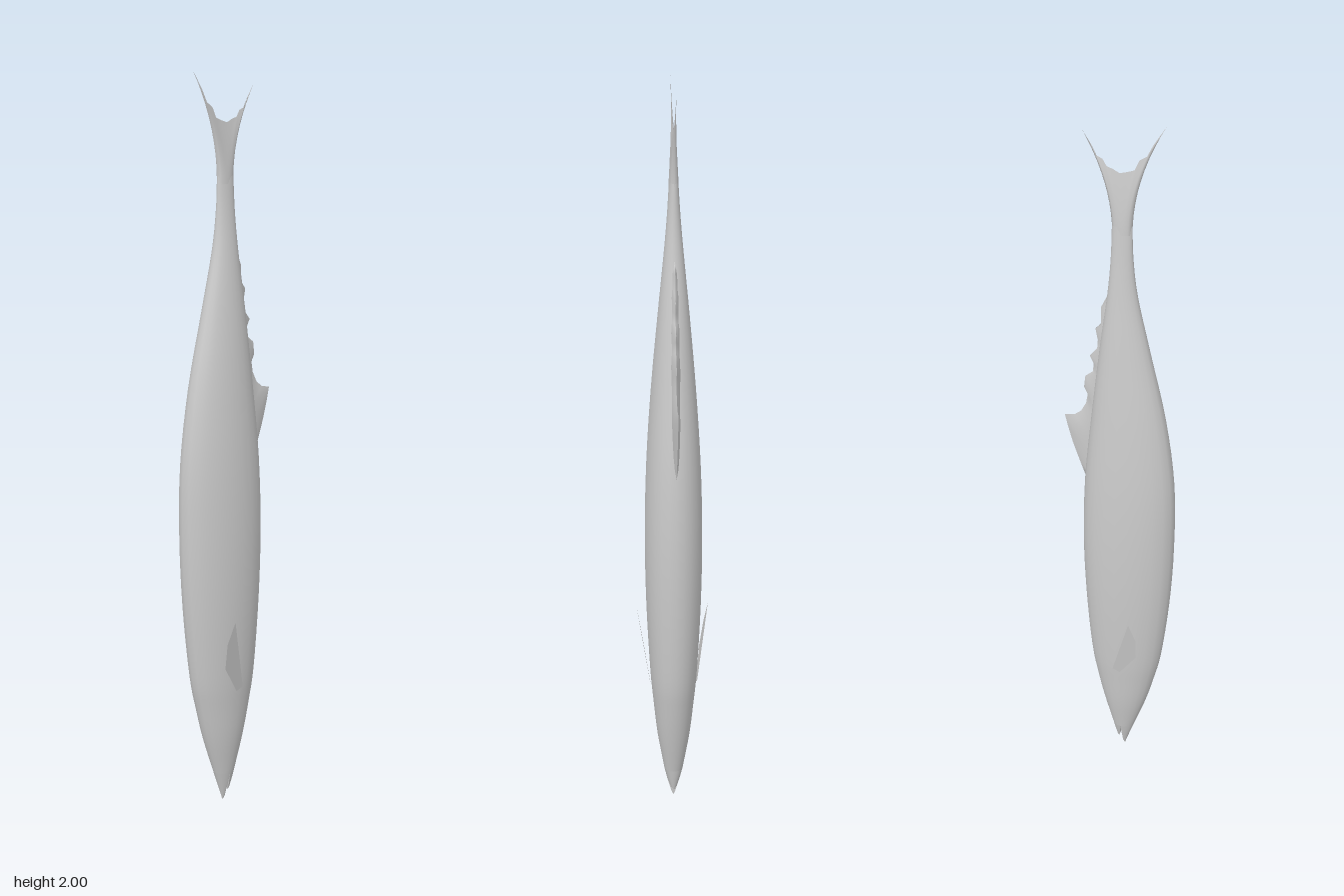
import * as THREE from 'three';

const material = new THREE.MeshStandardMaterial({ color: 0xcccccc, side: THREE.DoubleSide });
const lerp = THREE.MathUtils.lerp;

// Smooth tube of rings: point(i, j) gives [x, y, z] on ring i at step j around it
function tube(name, rings, steps, point) {
  const pos = [], index = [];
  for (let i = 0; i < rings; i++) {
    for (let j = 0; j < steps; j++) {
      pos.push(...point(i, j));
      if (i === rings - 1) continue;
      const a = i * steps + j, b = i * steps + (j + 1) % steps;
      index.push(a, a + steps, b, b, a + steps, b + steps);
    }
  }
  const geo = new THREE.BufferGeometry();
  geo.setAttribute('position', new THREE.Float32BufferAttribute(pos, 3));
  geo.setIndex(index);
  geo.computeVertexNormals();
  const mesh = new THREE.Mesh(geo, material);
  mesh.name = name;
  return mesh;
}

// Egg-shaped cross-section, widest slightly towards the back of the fish
const SIDES = 24;
function sectionPoint([y, belly, back, halfZ], j) {
  const a = (j / SIDES) * Math.PI * 2, r = (back - belly) / 2;
  const x = (belly + back) / 2 + r * (Math.cos(a) + 0.14 * Math.sin(a) ** 2);
  return [x, y, halfZ * Math.sin(a)];
}

// Lens-shaped fin grown from a base line to a free edge, thinning to nothing
function fin(name, baseA, baseB, edge, thickness, rows, bend) {
  const n = edge.length, steps = 2 * (n - 1);
  return tube(name, rows + 1, steps, (i, j) => {
    const k = j < n ? j : steps - j, s = k / (n - 1), v = i / rows;
    const bx = lerp(baseA[0], baseB[0], s), by = lerp(baseA[1], baseB[1], s);
    const [ex, ey] = edge[k];
    const cx = lerp(bx, ex, bend), cy = (by + ey) / 2;
    const w0 = (1 - v) ** 2, w1 = 2 * v * (1 - v), w2 = v * v;
    const z = thickness * Math.sqrt(Math.max(0, 1 - (2 * s - 1) ** 2)) * (1 - v ** 1.5);
    return [w0 * bx + w1 * cx + w2 * ex, w0 * by + w1 * cy + w2 * ey, j < n ? z : -z];
  });
}

export function createModel() {
  const fish = new THREE.Group();
  fish.name = 'fish';

  // Body sections: height, belly x, back x, half width
  const sections = [
    [0.09, -0.046, 0.018, 0.026], [0.2, -0.081, 0.045, 0.045], [0.3, -0.106, 0.066, 0.056],
    [0.4, -0.126, 0.082, 0.065], [0.6, -0.147, 0.096, 0.075], [0.8, -0.156, 0.101, 0.078],
    [1.0, -0.152, 0.094, 0.073], [1.2, -0.125, 0.074, 0.06], [1.4, -0.08, 0.051, 0.042],
    [1.55, -0.047, 0.031, 0.027], [1.65, -0.035, 0.022, 0.018], [1.74, -0.032, 0.019, 0.012],
  ];
  const spline = (f) => new THREE.CatmullRomCurve3(
    sections.map((s) => new THREE.Vector3(...f(s))), false, 'catmullrom', 0.5);
  const bellyLine = spline(([y, belly, , z]) => [belly, y, z]);
  const backLine = spline(([y, , back]) => [back, y, 0]);
  const RINGS = 45;
  const rings = [];
  for (let i = 0; i < RINGS; i++) {
    const b = bellyLine.getPoint(i / (RINGS - 1)), k = backLine.getPoint(i / (RINGS - 1));
    rings.push([b.y, b.x, k.x, b.z]);
  }
  fish.add(tube('body', RINGS, SIDES, (i, j) => sectionPoint(rings[i], j)));

  // Jaws: the snout split along the mouth, the last value being the split line
  const jaw = (name, clamp, secs) => fish.add(tube(name, secs.length, SIDES, (i, j) => {
    const [x, y, z] = sectionPoint(secs[i], j);
    return [clamp(x, secs[i][4]), y, z];
  }));
  jaw('lowerJaw', Math.min, [
    [0, -0.018, -0.015, 0.001, -0.014], [0.012, -0.021, -0.008, 0.006, -0.013],
    [0.05, -0.033, 0.008, 0.017, -0.012], [0.09, -0.046, 0.018, 0.026, -0.01]]);
  jaw('upperJaw', Math.max, [
    [0.025, 0.001, 0.004, 0.001, 0.001], [0.035, -0.015, 0.006, 0.009, -0.002],
    [0.06, -0.035, 0.012, 0.018, -0.007], [0.09, -0.046, 0.018, 0.026, -0.01]]);

  // Forked tail with a ragged trailing edge
  fish.add(fin('tailFin', [0.019, 1.72], [-0.032, 1.72], [
    [0.09, 1.965], [0.07, 1.935], [0.057, 1.908], [0.042, 1.902], [0.032, 1.885],
    [0.016, 1.88], [0, 1.872], [-0.02, 1.878], [-0.036, 1.884], [-0.048, 1.91],
    [-0.066, 1.922], [-0.08, 1.95], [-0.112, 2.0]], 0.013, 10, 0));

  // Dorsal fin with a row of finlets running to the tail
  fish.add(fin('dorsalFin', [0.085, 0.97], [0.028, 1.55], [
    [0.094, 0.98], [0.112, 1.03], [0.132, 1.09], [0.145, 1.14], [0.152, 1.172],
    [0.125, 1.177], [0.106, 1.193], [0.092, 1.22], [0.087, 1.25], [0.097, 1.268],
    [0.093, 1.302], [0.072, 1.32], [0.07, 1.345], [0.08, 1.365], [0.06, 1.39],
    [0.058, 1.415], [0.064, 1.447], [0.049, 1.463], [0.049, 1.51], [0.03, 1.55]], 0.013, 6, 0.5));

  // Pectoral fins, flat and flaring away from the flanks
  const outline = [[0, 0.362], [-0.026, 0.458], [-0.058, 0.574], [-0.077, 0.51], [-0.074, 0.437], [-0.021, 0.352]];
  for (const side of [1, -1]) {
    const geo = new THREE.ShapeGeometry(new THREE.Shape(outline.map((p) => new THREE.Vector2(...p))));
    const p = geo.attributes.position;
    for (let i = 0; i < p.count; i++) p.setZ(i, side * (0.064 + (p.getY(i) - 0.352) * 0.165));
    // Keep the faces pointing outwards on the mirrored side
    if (side < 0) geo.setIndex([...geo.index.array].reverse());
    geo.computeVertexNormals();
    const mesh = new THREE.Mesh(geo, material);
    mesh.name = side > 0 ? 'pectoralFinFront' : 'pectoralFinRear';
    fish.add(mesh);
  }
  return fish;
}
